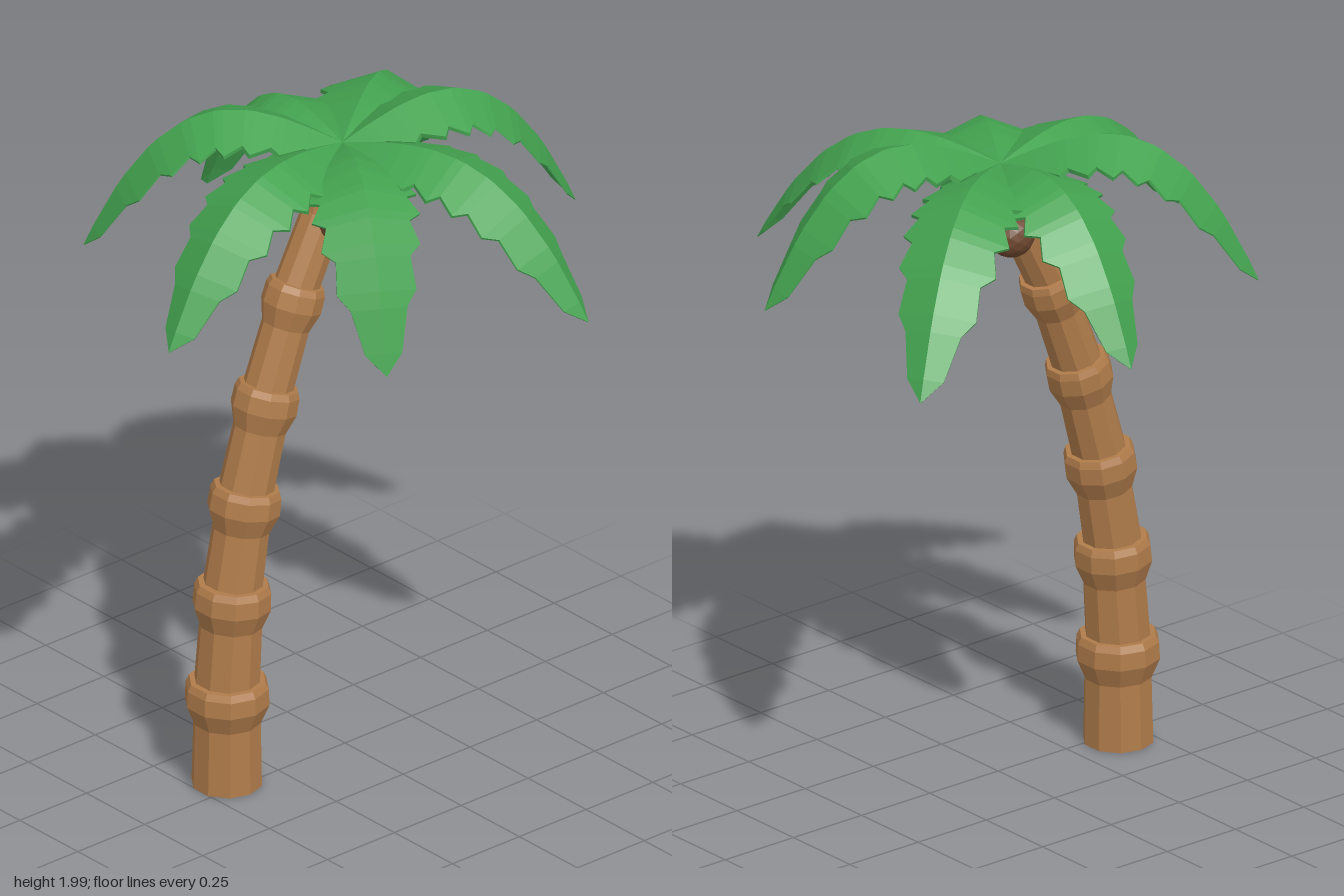
import * as THREE from 'three';

const bark = new THREE.MeshStandardMaterial({ color: 0xb07c4b, flatShading: true });
bark.name = 'bark';
const leaf = new THREE.MeshStandardMaterial({ color: 0x43a24f, flatShading: true });
leaf.name = 'leafGreen';
const husk = new THREE.MeshStandardMaterial({ color: 0x6f4830, flatShading: true });
husk.name = 'coconutBrown';

const CROWN = new THREE.Vector3(0.03, 1.89, -0.046);

// One trunk section: straight shaft flaring into a ring at its upper end
function trunkSection(from, to, shaft, ring, i) {
  const dir = to.clone().sub(from);
  const len = dir.length();
  const profile = [
    [0, 0], [shaft, 0], [shaft * 0.96, len - 0.13], [ring, len - 0.07],
    [ring * 0.98, len - 0.02], [ring * 0.9, len], [0, len],
  ].map(([r, y]) => new THREE.Vector2(r, y));
  const mesh = new THREE.Mesh(new THREE.LatheGeometry(profile, 10), bark);
  mesh.name = 'trunkSection' + (i + 1);
  mesh.position.copy(from);
  mesh.quaternion.setFromUnitVectors(new THREE.Vector3(0, 1, 0), dir.normalize());
  return mesh;
}

// Half width of a frond along its length
const WIDTHS = [0.02, 0.085, 0.125, 0.14, 0.145, 0.14, 0.125, 0.095, 0.055];
function halfWidth(t) {
  const f = t * (WIDTHS.length - 1);
  const i = Math.min(Math.floor(f), WIDTHS.length - 2);
  return THREE.MathUtils.lerp(WIDTHS[i], WIDTHS[i + 1], f - i);
}

// Arched, roof-shaped frond with toothed edges; local +x runs to the tip
function frondGeometry(length, tipDrop, rise) {
  const teeth = 8;
  const stations = [];
  for (let i = 0; i < teeth; i++) {
    const t = i / teeth;
    stations.push([t, halfWidth(t) * 0.86]);
    const p = (i + 0.7) / teeth;
    stations.push([p, halfWidth(p) * (i === teeth - 1 ? 0.8 : 1.1)]);
  }
  stations.push([1, 0.001]);

  const fall = rise + tipDrop;
  const rows = stations.map(([t, w]) => {
    const ridge = new THREE.Vector3(t * length, rise * t - fall * t ** 3, 0);
    const normal = new THREE.Vector3(-(rise - 3 * fall * t * t), length, 0).normalize();
    const thick = 0.016 * (1 - t) + 0.002;
    const edge = (s) => ridge.clone().addScaledVector(normal, -0.42 * w).setZ(s * w);
    const top = [edge(-1), ridge, edge(1)];
    return [...top, ...top.map((p) => p.clone().addScaledVector(normal, -thick))];
  });

  const pos = [];
  const quad = (a, b, c, d) => [a, b, c, a, c, d].forEach((p) => pos.push(p.x, p.y, p.z));
  for (let i = 0; i < rows.length - 1; i++) {
    const a = rows[i], b = rows[i + 1];
    for (const k of [0, 1]) {
      quad(a[k], a[k + 1], b[k + 1], b[k]);
      quad(a[k + 3], b[k + 3], b[k + 4], a[k + 4]);
    }
    quad(a[0], b[0], b[3], a[3]);
    quad(a[2], a[5], b[5], b[2]);
  }
  const geo = new THREE.BufferGeometry();
  geo.setAttribute('position', new THREE.Float32BufferAttribute(pos, 3));
  geo.computeVertexNormals();
  return geo;
}

export function createModel() {
  const model = new THREE.Group();
  model.name = 'palmTree';

  // Leaning trunk
  const trunk = new THREE.Group();
  trunk.name = 'trunk';
  const axis = [
    [-0.407, 0], [-0.405, 0.33], [-0.383, 0.63], [-0.332, 0.92],
    [-0.25, 1.215], [-0.142, 1.505], [0.01, 1.805],
  ].map(([x, y]) => new THREE.Vector3(x, y, -0.041));
  const shafts = [0.102, 0.095, 0.086, 0.08, 0.073, 0.066];
  const rings = [0.123, 0.114, 0.106, 0.097, 0.089, 0.075];
  shafts.forEach((r, i) => {
    const from = axis[i].clone();
    if (i) from.lerp(axis[i + 1], -0.03);
    if (i) from.lerp(axis[i], 0.5);
    trunk.add(trunkSection(from, axis[i + 1], r, rings[i], i));
  });
  model.add(trunk);

  // Fronds: tip x, y, z and how strongly each one arches upward
  const fronds = new THREE.Group();
  fronds.name = 'fronds';
  [
    [0.083, 1.485, -0.69, 0.19],
    [0.69, 1.48, -0.49, 0.2],
    [0.717, 1.555, 0.167, 0.37],
    [0.32, 1.505, 0.68, 0.2],
    [-0.284, 1.47, 0.507, 0.18],
    [-0.72, 1.525, 0.07, 0.19],
    [-0.505, 1.55, -0.545, 0.36],
  ].forEach(([x, y, z, rise], i) => {
    const dx = x - CROWN.x, dz = z - CROWN.z;
    const mesh = new THREE.Mesh(frondGeometry(Math.hypot(dx, dz), CROWN.y - y, rise), leaf);
    mesh.name = 'frond' + (i + 1);
    mesh.position.copy(CROWN);
    mesh.rotation.y = Math.atan2(-dz, dx);
    fronds.add(mesh);
  });
  model.add(fronds);

  // Green bud joining the fronds to the trunk top
  const bud = new THREE.Mesh(new THREE.CylinderGeometry(0.025, 0.045, 0.11, 7), leaf);
  bud.name = 'crownBud';
  bud.position.set(0.025, 1.825, CROWN.z);
  model.add(bud);

  // Coconuts under the crown
  [[-0.035, 0.018], [0.105, 0.018], [0.035, -0.1]].forEach(([x, z], i) => {
    const nut = new THREE.Mesh(new THREE.IcosahedronGeometry(0.068, 2), husk);
    nut.name = 'coconut' + (i + 1);
    nut.position.set(x, 1.692, z);
    model.add(nut);
  });

  return model;
}
